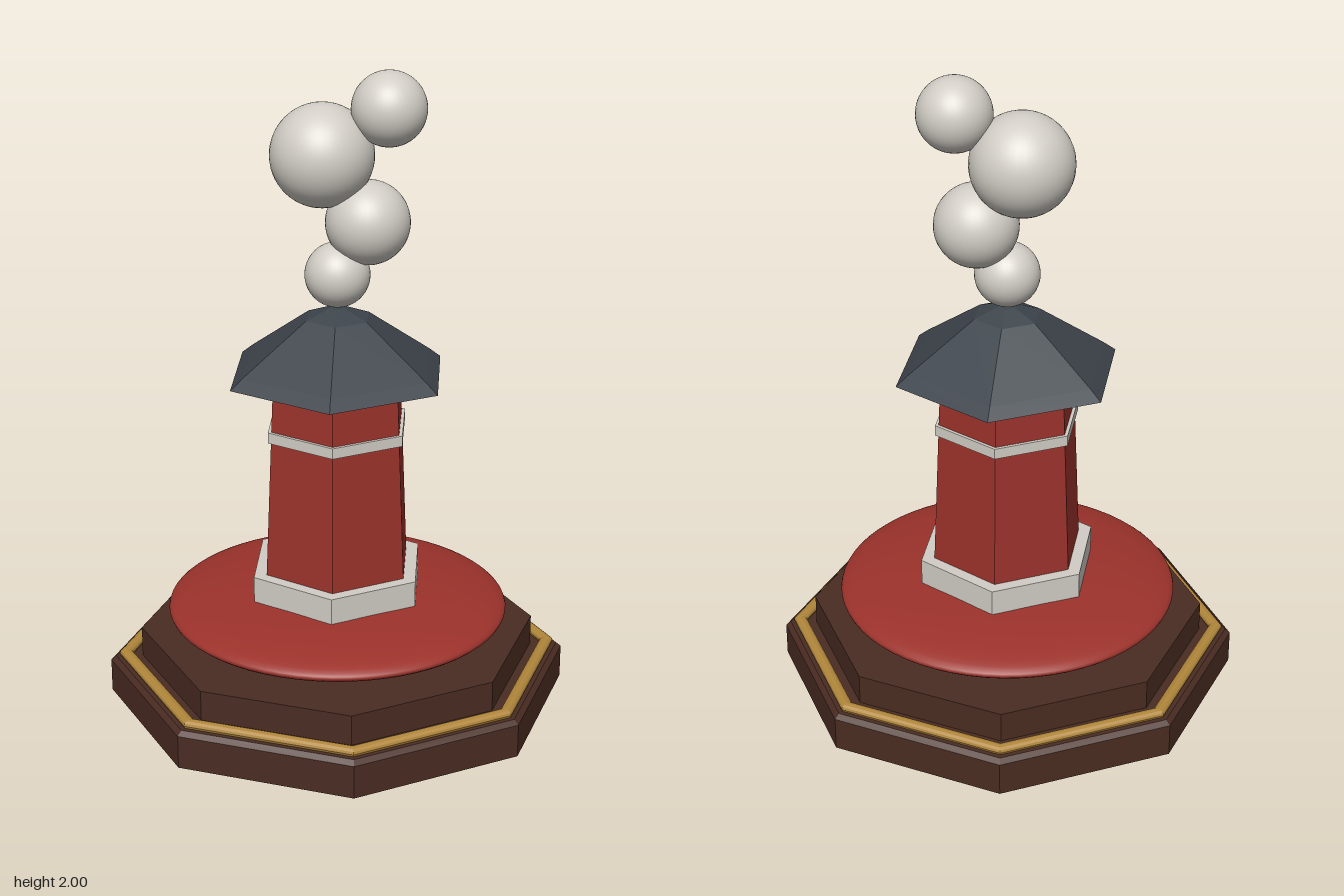
import * as THREE from 'three';

const material = (name, color) => {
  const m = new THREE.MeshStandardMaterial({ color });
  m.name = name;
  return m;
};

export function createModel() {
  const wood = material('dark wood', 0x4a2c22);
  const gold = material('gold', 0xb0863a);
  const red = material('red', 0x9c322b);
  const stone = material('pale stone', 0xd2cec6);
  const slate = material('slate', 0x3d444b);

  const model = new THREE.Group();
  model.name = 'smokingTower';

  const add = (name, geometry, mat, y = 0) => {
    const mesh = new THREE.Mesh(geometry, mat);
    mesh.name = name;
    mesh.position.y = y;
    model.add(mesh);
    return mesh;
  };

  // give every facet its own normal
  const faceted = (geometry) => {
    const g = geometry.toNonIndexed();
    g.computeVertexNormals();
    return g;
  };

  // closed many-sided solid from [radius, height] pairs, listed bottom to top
  const turned = (sides, profile) => {
    const points = profile.map(([r, y]) => new THREE.Vector2(r, y));
    return faceted(new THREE.LatheGeometry(points, sides, Math.PI / sides));
  };

  // octagonal stand, sized by the distance to its flat sides
  const oct = 1 / Math.cos(Math.PI / 8);
  add('baseStep', turned(8, [
    [0, 0], [0.67 * oct, 0], [0.67 * oct, 0.106], [0.655 * oct, 0.12], [0, 0.12],
  ]), wood);
  add('upperStep', turned(8, [
    [0, 0.11], [0.577 * oct, 0.11], [0.577 * oct, 0.217], [0, 0.217],
  ]), wood);

  // gold moulding around the stand
  const moulding = new THREE.TorusGeometry(0.625 * oct, 0.021, 12, 8);
  moulding.rotateZ(Math.PI / 8).rotateX(Math.PI / 2).scale(1, 0.72, 1);
  add('goldMoulding', faceted(moulding), gold, 0.129);

  // rounded cushion disc on a short post
  add('discPost', new THREE.CylinderGeometry(0.06, 0.06, 0.06, 24), wood, 0.235);
  const disc = new THREE.SphereGeometry(1, 64, 32);
  disc.scale(0.535, 0.068, 0.535);
  add('cushionDisc', disc, red, 0.291);

  // six-sided tower with stone plinth and band
  add('plinth', turned(6, [[0, 0.33], [0.29, 0.35], [0.29, 0.433], [0, 0.433]]), stone);
  add('towerBody', turned(6, [[0, 0.42], [0.247, 0.42], [0.219, 1.045], [0, 1.045]]), red);
  add('towerBand', turned(6, [[0, 0.873], [0.237, 0.873], [0.237, 0.907], [0, 0.907]]), stone);

  // flared roof on a small neck
  add('roofNeck', new THREE.CylinderGeometry(0.1, 0.1, 0.05, 6), slate, 1.055);
  add('roof', turned(6, [
    [0, 1.054], [0.3, 1.056], [0.36, 1.063], [0.32, 1.095], [0.107, 1.246], [0.03, 1.275], [0, 1.278],
  ]), slate);

  // smoke puffs: x, y, z, radius
  [
    [0, 1.38, 0, 0.1],
    [0.087, 1.54, 0.03, 0.129],
    [-0.03, 1.743, -0.043, 0.158],
    [0.143, 1.886, 0.056, 0.114],
  ].forEach(([x, y, z, r], i) => {
    add(`smokePuff${i + 1}`, new THREE.SphereGeometry(r, 40, 28), stone).position.set(x, y, z);
  });

  return model;
}
